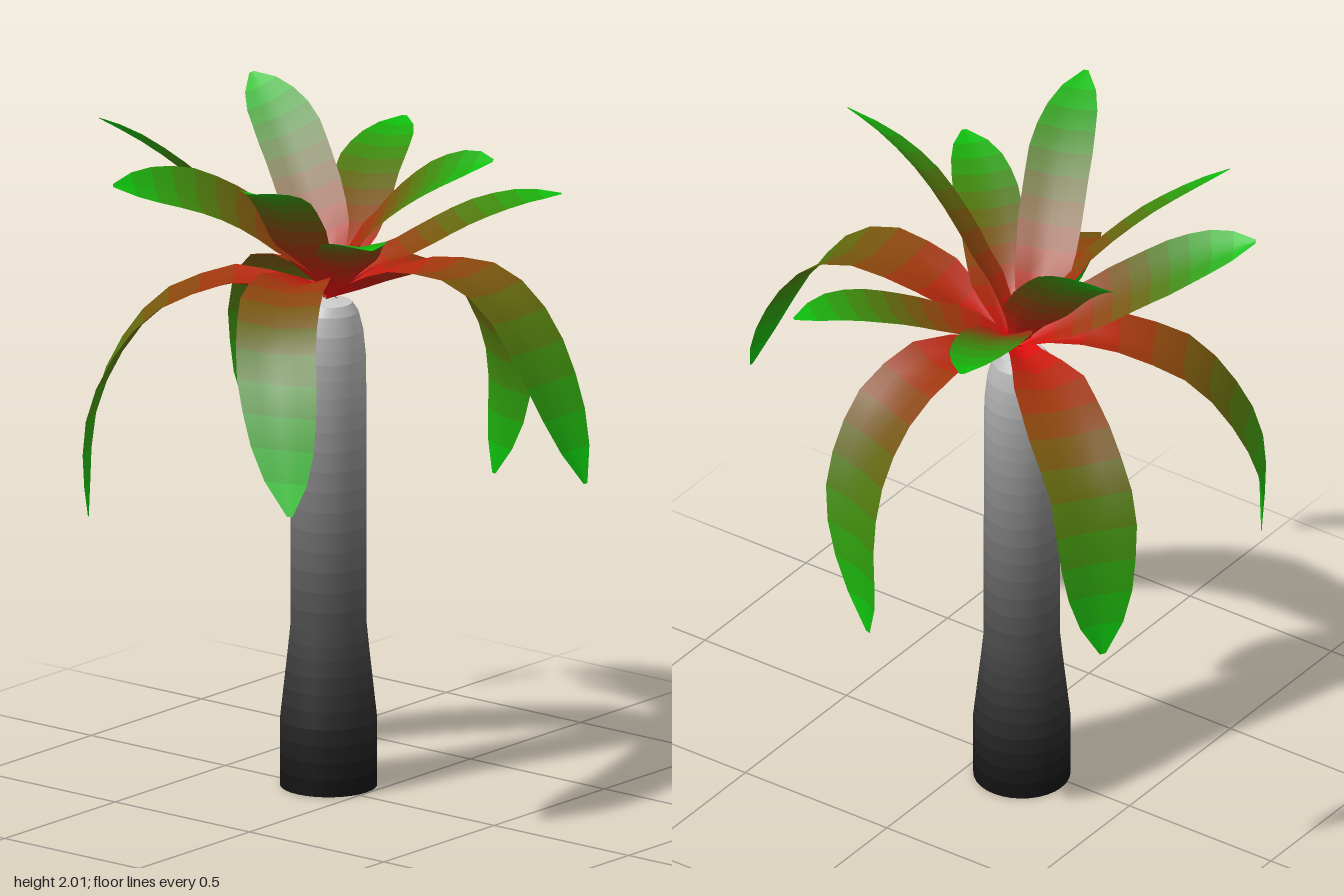
import * as THREE from 'three';

const CROWN = new THREE.Vector3(-0.13, 1.458, -0.042);
const ROWS = 12, COLS = 4, BANDS = 12;

// relative half-width along a leaf: narrow stalk, broad middle, pointed tip
const OUTLINE = [[0, 0.3], [0.1, 0.42], [0.25, 0.87], [0.4, 1], [0.7, 1], [0.85, 0.76], [0.95, 0.42], [1, 0.07]];

// midrib points after the shared crown centre
const DROOPING = [
  [[0.0, 1.51, -0.05], [0.14, 1.57, -0.05], [0.3, 1.605, -0.05], [0.42, 1.585, -0.05], [0.53, 1.515, -0.05], [0.65, 1.35, -0.05], [0.79, 1.06, -0.06]],
  [[-0.11, 1.52, 0.08], [-0.05, 1.56, 0.25], [0.02, 1.55, 0.38], [0.12, 1.455, 0.52], [0.2, 1.3, 0.6], [0.29, 1.03, 0.67]],
  [[-0.22, 1.475, 0.03], [-0.4, 1.485, 0.13], [-0.54, 1.42, 0.22], [-0.64, 1.29, 0.28], [-0.7, 1.1, 0.34], [-0.68, 0.8, 0.4]],
  [[-0.22, 1.475, -0.11], [-0.38, 1.485, -0.22], [-0.54, 1.43, -0.34], [-0.65, 1.31, -0.4], [-0.7, 1.13, -0.44], [-0.73, 0.85, -0.455]],
  [[-0.1, 1.49, -0.16], [-0.05, 1.505, -0.28], [0.0, 1.455, -0.43], [0.03, 1.32, -0.54], [0.02, 1.14, -0.63], [-0.07, 0.8, -0.69]],
];
// each with its roll about the midrib, in degrees
const UPRIGHT = [
  [38, [[-0.06, 1.58, -0.03], [0.08, 1.73, 0.01], [0.25, 1.865, 0.04], [0.39, 1.945, 0.04], [0.52, 1.995, 0.03]]],
  [0, [[-0.12, 1.58, 0.09], [-0.06, 1.73, 0.23], [0.02, 1.86, 0.4], [0.07, 1.92, 0.53], [0.11, 1.955, 0.64]]],
  [28, [[-0.22, 1.53, 0.0], [-0.38, 1.66, 0.06], [-0.55, 1.79, 0.12], [-0.67, 1.87, 0.17], [-0.79, 1.93, 0.22]]],
  [-30, [[-0.19, 1.57, -0.09], [-0.31, 1.73, -0.15], [-0.45, 1.87, -0.22], [-0.55, 1.93, -0.26], [-0.65, 1.98, -0.3]]],
  [0, [[-0.03, 1.56, 0.02], [0.06, 1.65, 0.12], [0.18, 1.72, 0.24], [0.28, 1.76, 0.33], [0.37, 1.78, 0.4]]],
  [-30, [[-0.18, 1.57, 0.04], [-0.26, 1.71, 0.17], [-0.34, 1.8, 0.31], [-0.4, 1.84, 0.44], [-0.45, 1.865, 0.57]]],
  [0, [[-0.16, 1.55, -0.13], [-0.23, 1.65, -0.27], [-0.31, 1.74, -0.43], [-0.36, 1.785, -0.57], [-0.4, 1.81, -0.69]]],
  [0, [[-0.07, 1.53, -0.12], [0.02, 1.6, -0.24], [0.11, 1.67, -0.38], [0.19, 1.705, -0.5], [0.25, 1.71, -0.61]]],
];

function outlineAt(t) {
  const i = Math.max(1, OUTLINE.findIndex(([s]) => s >= t - 1e-6));
  const [a, wa] = OUTLINE[i - 1], [b, wb] = OUTLINE[i];
  return wa + (wb - wa) * (t - a) / (b - a);
}

// red at the heart, fading to green at the tip
const leafMaterials = Array.from({ length: BANDS }, (_, i) => {
  const t = (i + 0.5) / BANDS;
  const red = 0.03 + 0.87 * (1 - t) ** 1.15, green = 0.03 + 0.75 * t ** 1.15;
  const color = new THREE.Color().setRGB(red, green, 0.05, THREE.SRGBColorSpace);
  return new THREE.MeshStandardMaterial({ color, side: THREE.DoubleSide });
});

function makeLeaf(name, points, halfWidth, roll) {
  const pts = points.map((p) => new THREE.Vector3(...p));
  const out = pts[2].clone().sub(CROWN).setY(0).normalize();
  const level = new THREE.Vector3(out.z, 0, -out.x);
  const curve = new THREE.CatmullRomCurve3([CROWN, ...pts]);

  // channelled cross-sections swept along the midrib
  const positions = [], index = [];
  for (let r = 0; r <= ROWS; r++) {
    const t = r / ROWS;
    const centre = curve.getPointAt(t);
    const tangent = curve.getTangentAt(t);
    const side = level.clone().applyAxisAngle(tangent, THREE.MathUtils.degToRad(roll));
    const up = tangent.clone().cross(side).normalize();
    const w = halfWidth * outlineAt(t);
    for (let c = 0; c <= COLS; c++) {
      const u = (c / COLS) * 2 - 1;
      const lift = w * Math.abs(u) * (0.15 + 0.5 * Math.max(0, 1 - t * 3));
      positions.push(...centre.clone().addScaledVector(side, u * w).addScaledVector(up, lift).toArray());
      if (r < ROWS && c < COLS) {
        const a = r * (COLS + 1) + c, b = a + COLS + 1;
        index.push(a, a + 1, b, a + 1, b + 1, b);
      }
    }
  }
  const blade = new THREE.BufferGeometry();
  blade.setAttribute('position', new THREE.Float32BufferAttribute(positions, 3));
  blade.setIndex(index);
  blade.computeVertexNormals();

  // one colour band per slice, sharing the smooth normals of the whole blade
  const leaf = new THREE.Group();
  leaf.name = name;
  const step = index.length / BANDS;
  for (let i = 0; i < BANDS; i++) {
    const slice = blade.clone().setIndex(index.slice(i * step, (i + 1) * step)).toNonIndexed();
    const mesh = new THREE.Mesh(slice, leafMaterials[i]);
    mesh.name = `${name}Band${i + 1}`;
    leaf.add(mesh);
  }
  return leaf;
}

function makeTrunk() {
  const profile = [[0, 0], [0.14, 0], [0.14, 0.1], [0.14, 0.2], [0.129, 0.3], [0.118, 0.4], [0.11, 0.48],
    [0.11, 0.6], [0.11, 0.72], [0.11, 0.84], [0.109, 0.96], [0.109, 1.08], [0.109, 1.18], [0.108, 1.28],
    [0.1, 1.36], [0.086, 1.415], [0.068, 1.442], [0, 1.45]].map(([x, y]) => new THREE.Vector2(x, y));
  const trunk = new THREE.Group();
  trunk.name = 'trunk';
  trunk.position.set(-0.145, 0, -0.035);
  // dark foot fading to a pale top, two shades per profile step
  for (let i = 1; i < profile.length; i++) {
    const middle = profile[i - 1].clone().lerp(profile[i], 0.5);
    [[profile[i - 1], middle], [middle, profile[i]]].forEach((pair, half) => {
      const grey = 0.06 + 0.68 * (pair[0].y + pair[1].y) / 2 / 1.45;
      const color = new THREE.Color().setRGB(grey, grey, grey, THREE.SRGBColorSpace);
      const band = new THREE.Mesh(new THREE.LatheGeometry(pair, 32), new THREE.MeshStandardMaterial({ color }));
      band.name = `trunkBand${i * 2 - 1 + half}`;
      trunk.add(band);
    });
  }
  return trunk;
}

export function createModel() {
  const model = new THREE.Group();
  model.name = 'palmPlant';
  model.add(makeTrunk());
  DROOPING.forEach((p, i) => model.add(makeLeaf(`droopingLeaf${i + 1}`, p, 0.122, 0)));
  UPRIGHT.forEach(([roll, p], i) => model.add(makeLeaf(`uprightLeaf${i + 1}`, p, 0.095, roll)));
  return model;
}
